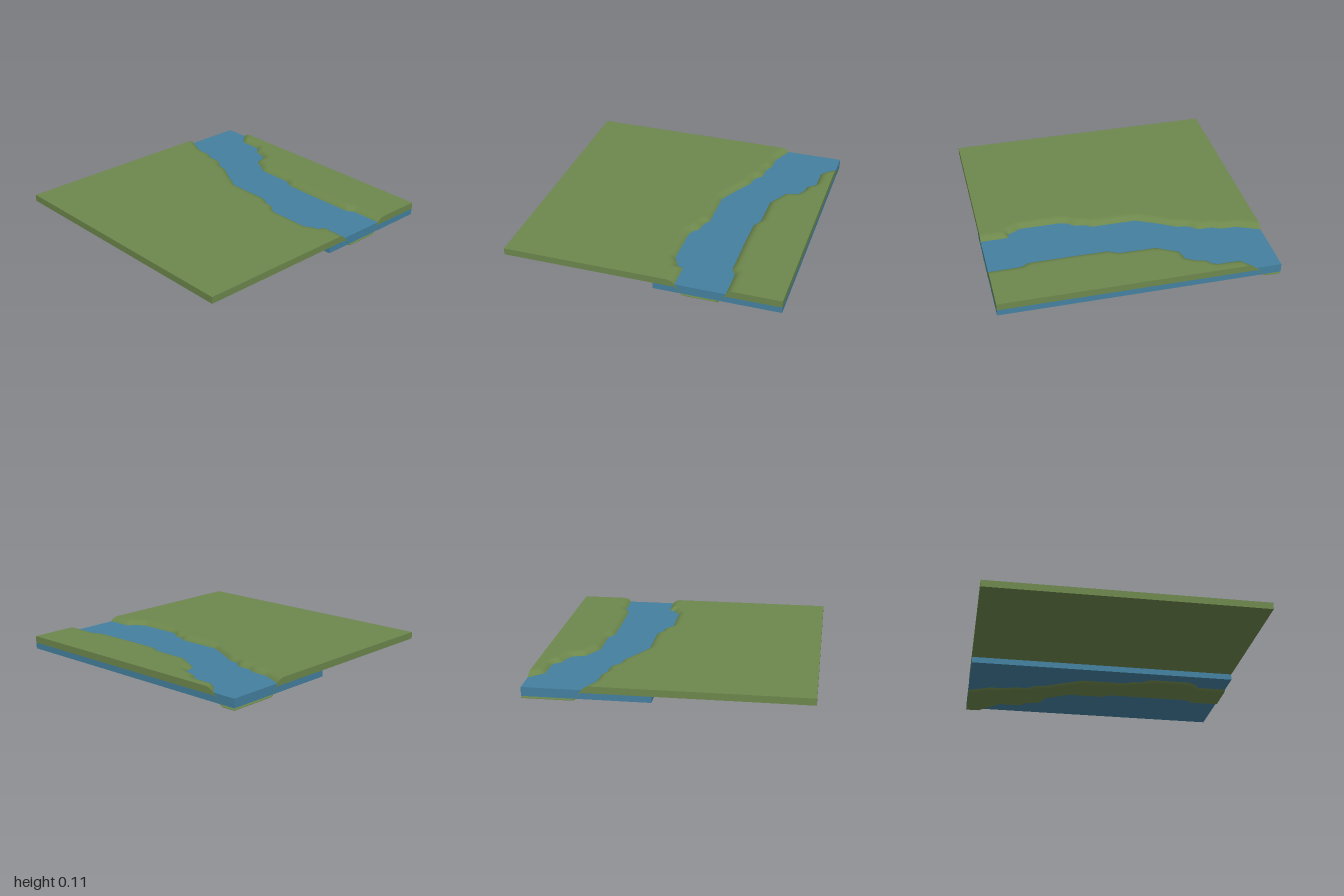
import * as THREE from 'three';

// Bank lines of the river as [x, z], back to front
const LEFT = [[0.62, -1.3], [0.58, -1], [0.545, -0.92], [0.51, -0.84], [0.505, -0.72], [0.475, -0.66],
  [0.475, -0.56], [0.42, -0.5], [0.41, -0.42], [0.34, -0.3], [0.26, -0.14], [0.26, 0.19], [0.23, 0.23],
  [0.22, 0.31], [0.18, 0.35], [0.165, 0.4], [0.165, 0.7], [0.195, 0.75], [0.21, 0.79], [0.255, 0.8], [0.255, 1.3]];
const RIGHT = [[1.4, -1.19], [1, -0.82], [0.9, -0.73], [0.895, -0.56], [0.88, -0.53], [0.835, -0.5],
  [0.825, -0.44], [0.79, -0.37], [0.7, -0.35], [0.67, -0.29], [0.62, -0.2], [0.615, 0.07], [0.58, 0.14],
  [0.575, 0.36], [0.58, 0.72], [0.61, 0.77], [0.615, 1.3]];
const RIVER = [...LEFT, ...RIGHT.slice().reverse(), [1.4, -1.3]];

// Signed distance to the waterline, positive inside the river
function riverDistance(x, z) {
  let best = Infinity, inside = false;
  RIVER.forEach(([ax, az], i) => {
    const [bx, bz] = RIVER[(i + 1) % RIVER.length];
    const dx = bx - ax, dz = bz - az;
    const t = THREE.MathUtils.clamp(((x - ax) * dx + (z - az) * dz) / (dx * dx + dz * dz), 0, 1);
    best = Math.min(best, Math.hypot(x - ax - t * dx, z - az - t * dz));
    if ((az > z) !== (bz > z) && x < ax + (z - az) * dx / dz) inside = !inside;
  });
  return inside ? best : -best;
}

// Bank profile: distance from the waterline -> ground height
const PROFILE = [[-0.045, 0.11], [-0.02, 0.1], [0, 0.08], [0.05, 0.004]];
function groundHeight(x, z) {
  const d = riverDistance(x, z);
  if (d <= PROFILE[0][0]) return PROFILE[0][1];
  for (let i = 1; i < PROFILE.length; i++) {
    const [d0, y0] = PROFILE[i - 1], [d1, y1] = PROFILE[i];
    if (d < d1) return y0 + (y1 - y0) * (d - d0) / (d1 - d0);
  }
  return 0.004;
}

// Land slab: sculpted top, flat underside that drops below the river bed, closed rim
function landGeometry() {
  const xs = [-1], zs = [], pos = [], index = [];
  for (let i = 0; i <= 50; i++) xs.push(i / 50);
  for (let j = 0; j <= 100; j++) zs.push(-1 + j / 50);
  const nx = xs.length, nz = zs.length, count = nx * nz;
  const top = zs.map(z => xs.map(x => groundHeight(x, z)));
  const under = y => Math.min(0.06, y - 0.004);

  for (const layer of [y => y, under])
    zs.forEach((z, j) => xs.forEach((x, i) => pos.push(x, layer(top[j][i]), z)));
  for (let j = 0; j < nz - 1; j++) for (let i = 0; i < nx - 1; i++) {
    const a = j * nx + i, b = a + 1, c = a + nx, d = c + 1;
    index.push(a, c, b, b, c, d);
    index.push(...[a, b, c, b, d, c].map(k => k + count));
  }

  // Rim strips, each walked anticlockwise as seen from above
  const cols = xs.map((_, i) => i), rows = zs.map((_, j) => j);
  const rims = [
    cols.map(i => [i, nz - 1]),
    rows.map(j => [nx - 1, j]).reverse(),
    cols.map(i => [i, 0]).reverse(),
    rows.map(j => [0, j])
  ];
  for (const rim of rims) {
    const start = pos.length / 3;
    rim.forEach(([i, j]) => pos.push(xs[i], top[j][i], zs[j], xs[i], under(top[j][i]), zs[j]));
    for (let k = 0; k < rim.length - 1; k++) {
      const a = start + 2 * k;
      index.push(a, a + 1, a + 2, a + 2, a + 1, a + 3);
    }
  }
  const geo = new THREE.BufferGeometry();
  geo.setAttribute('position', new THREE.Float32BufferAttribute(pos, 3));
  geo.setIndex(index);
  geo.computeVertexNormals();
  return geo;
}

export function createModel() {
  const group = new THREE.Group();
  group.name = 'riverTile';

  const land = new THREE.Mesh(landGeometry(), new THREE.MeshStandardMaterial({ color: 0x6d874c }));
  land.name = 'land';

  // Water block, a hair inside the rim so the land edge stays clean
  const water = new THREE.Mesh(new THREE.BoxGeometry(0.899, 0.065, 1.998),
    new THREE.MeshStandardMaterial({ color: 0x44809f }));
  water.name = 'water';
  water.position.set(0.5495, 0.0475, 0);

  group.add(land, water);
  return group;
}
